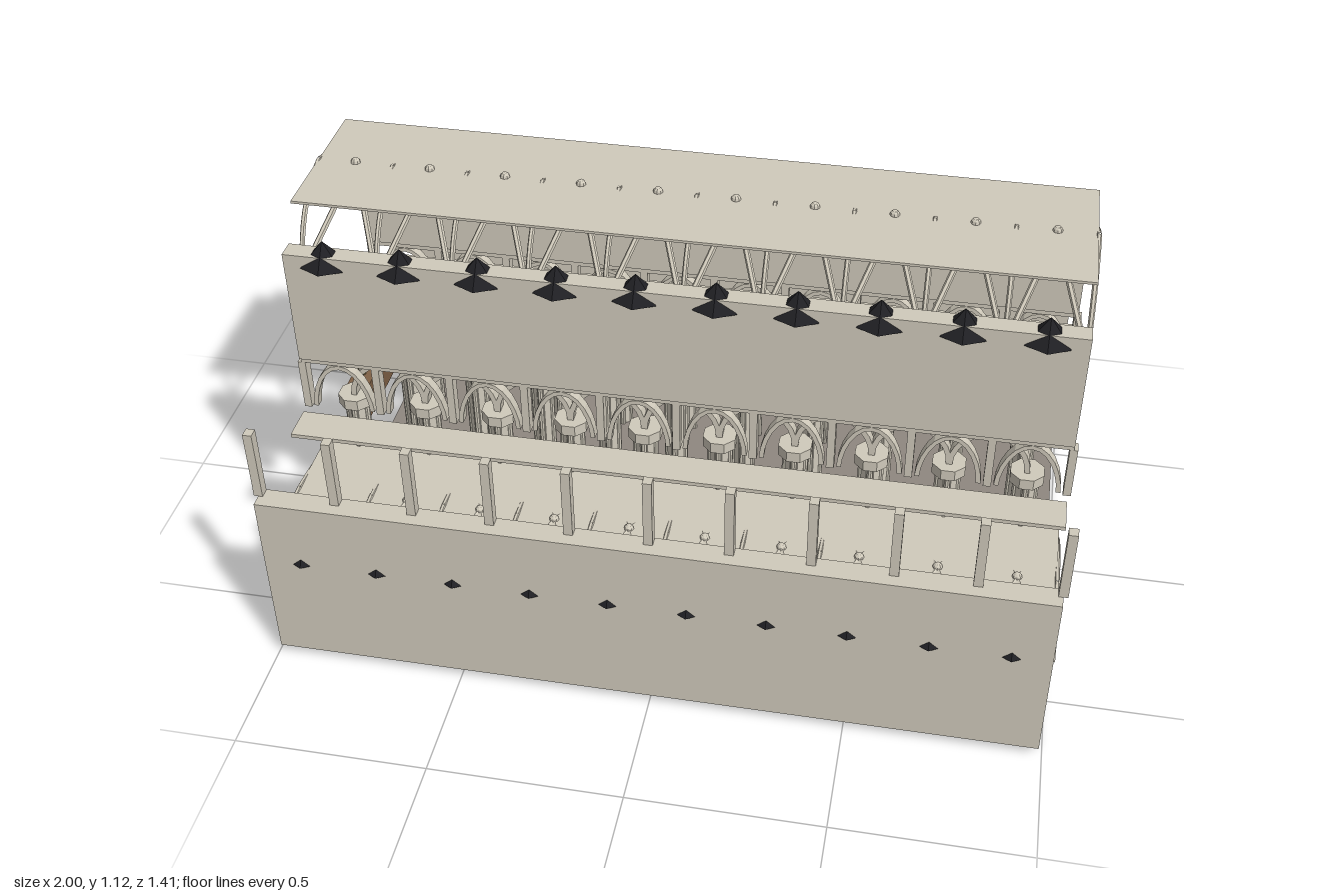
import * as THREE from 'three';

const BAYS = 10, PITCH = 0.198, LEN = BAYS * PITCH;
const centres = Array.from({ length: BAYS }, (_, i) => (i - (BAYS - 1) / 2) * PITCH);
const edges = Array.from({ length: BAYS + 1 }, (_, i) => (i - BAYS / 2) * PITCH);

const mat = (color) => new THREE.MeshStandardMaterial({ color, flatShading: true });
const stone = mat(0xd0cabb), paving = mat(0x8f8780), wood = mat(0x7f6146);
const dark = mat(0x202024), brass = mat(0x80744a);

export function createModel() {
  const model = new THREE.Group();
  model.name = 'vaultedHall';

  const add = (name, geo, material, x, y, z) => {
    const mesh = new THREE.Mesh(geo, material);
    mesh.name = name;
    mesh.position.set(x, y, z);
    model.add(mesh);
    return mesh;
  };
  // Box given by its y range, centred on x and z
  const box = (name, w, y0, y1, d, x, z, material = stone) =>
    add(name, new THREE.BoxGeometry(w, y1 - y0, d), material, x, (y0 + y1) / 2, z);
  const rod = (name, r, y0, y1, x, z, sides = 8, material = stone) => {
    const mesh = add(name, new THREE.CylinderGeometry(r, r, y1 - y0, sides), material, x, (y0 + y1) / 2, z);
    mesh.rotation.y = Math.PI / sides;
    return mesh;
  };
  const rib = (name, curve, r, segments) =>
    add(name, new THREE.TubeGeometry(curve, segments, r, 6), stone, 0, 0, 0);

  // Column with a core and four attached shafts
  const column = (name, x, z, y1, core, shaft) => {
    rod(name, core, 0.03, y1, x, z);
    for (let k = 0; k < 4; k++) {
      const a = k * Math.PI / 2;
      rod(name + 'Shaft', shaft, 0.03, y1, x + core * Math.cos(a), z + core * Math.sin(a));
    }
  };

  // Ribbed vault: thin ceiling, cross ribs at bay edges, diagonals and bosses
  const vault = (name, zc, half, y0, y1) => {
    box(name + 'Ceiling', LEN, y1 - 0.007, y1, half * 2 + 0.01, 0, zc);
    const P = (x, f, h) => new THREE.Vector3(x, y0 + (y1 - 0.002 - y0) * h, zc + half * f);
    for (const s of [-1, 1]) {
      for (const x of edges) {
        rib(name + 'CrossRib', new THREE.QuadraticBezierCurve3(P(x, s, 0), P(x, s * 0.8, 0.82), P(x, 0, 1)), 0.007, 10);
      }
      for (const x of centres) for (const t of [-1, 1]) {
        rib(name + 'DiagonalRib', new THREE.LineCurve3(P(x + t * PITCH / 2, s, 0), P(x, 0, 1)), 0.008, 1);
      }
    }
    for (const x of centres) add(name + 'Boss', new THREE.SphereGeometry(0.013, 8, 6), stone, x, y1 + 0.001, zc);
  };

  // Arch ring with its feet on y = 0; rise above half the span gives a point
  const archGeometry = (half, rise, t, depth) => {
    const shape = new THREE.Shape();
    const side = (h, r, s) => [0, 1, 2, 3, 4, 5, 6].map((i) => {
      const a = i / 6 * Math.PI / 2;
      return new THREE.Vector2(s * h * Math.cos(a), r * Math.sin(a) ** (rise > half * 1.3 ? 1.15 : 1));
    });
    const outer = [...side(half, rise, 1), ...side(half, rise, -1).reverse().slice(1)];
    const inner = [...side(half - t, rise - t, 1), ...side(half - t, rise - t, -1).reverse().slice(1)];
    shape.setFromPoints([...outer, ...inner.reverse()]);
    const geo = new THREE.ExtrudeGeometry(shape, { depth, bevelEnabled: false });
    return geo.translate(0, 0, -depth / 2);
  };
  const naveArch = archGeometry(PITCH / 2 + 0.006, 0.118, 0.014, 0.03);
  const galleryArch = archGeometry(0.083, 0.14, 0.012, 0.026);

  box('floor', LEN, 0, 0.03, 1.31, 0, 0, paving);

  for (const s of [-1, 1]) {
    // Aisle wall with free-standing posts
    box('outerWall', LEN, 0.03, 0.525, 0.06, 0, s * 0.66);
    for (const x of edges) box('wallPost', 0.023, 0.525, 0.72, 0.026, x, s * 0.645);

    // Gallery and upper wall
    box('gallerySlab', LEN, 0.525, 0.536, 0.095, 0, s * 0.378);
    box('upperWall', LEN, 0.69, 1.015, 0.05, 0, s * 0.28);
    box('galleryBeam', LEN, 0.672, 0.69, 0.03, 0, s * 0.28);
    for (const x of edges) box('galleryPost', 0.02, 0.525, 0.672, 0.03, x, s * 0.28);

    for (const x of centres) {
      add('galleryArch', galleryArch, stone, x, 0.53, s * 0.28);

      // Pointed lamps set in the walls
      const lamp = add('upperLamp', new THREE.ConeGeometry(0.053, 0.07, 6), dark, x, 1.015, s * 0.28);
      lamp.scale.x = 1.2;
      add('aisleLamp', new THREE.ConeGeometry(0.048, 0.07, 6), dark, x, 0.37, s * 0.655);

      // Nave pier with capital, and aisle pier
      column('navePier', x, s * 0.207, 0.49, 0.026, 0.008);
      rod('capital', 0.046, 0.49, 0.521, x, s * 0.207);
      column('aislePier', x, s * 0.397, 0.355, 0.02, 0.007);

      // Small bench facing the organ
      const z = s * 0.082;
      box('benchSeat', 0.06, 0.052, 0.06, 0.053, x, z, wood);
      box('benchBack', 0.01, 0.052, 0.095, 0.053, x + 0.027, z, wood);
      for (const t of [-1, 1]) box('benchLeg', 0.012, 0.03, 0.053, 0.045, x + t * 0.022, z, wood);
    }
    for (const x of edges.slice(1, -1)) add('naveArch', naveArch, stone, x, 0.521, s * 0.207);

    vault('aisleVault', s * 0.43, 0.222, 0.302, 0.357);
  }
  vault('naveVault', 0, 0.202, 0.89, 1.11);

  // Organ case and its graded pipes
  box('organCase', 0.06, 0.355, 0.453, 0.25, -0.93, 0, wood);
  for (let i = -7; i <= 7; i++) {
    rod('organPipe', 0.0055, 0.453, 0.6 - Math.abs(i) * 0.0105, -0.93, i * 0.0152, 8, brass);
  }
  return model;
}
